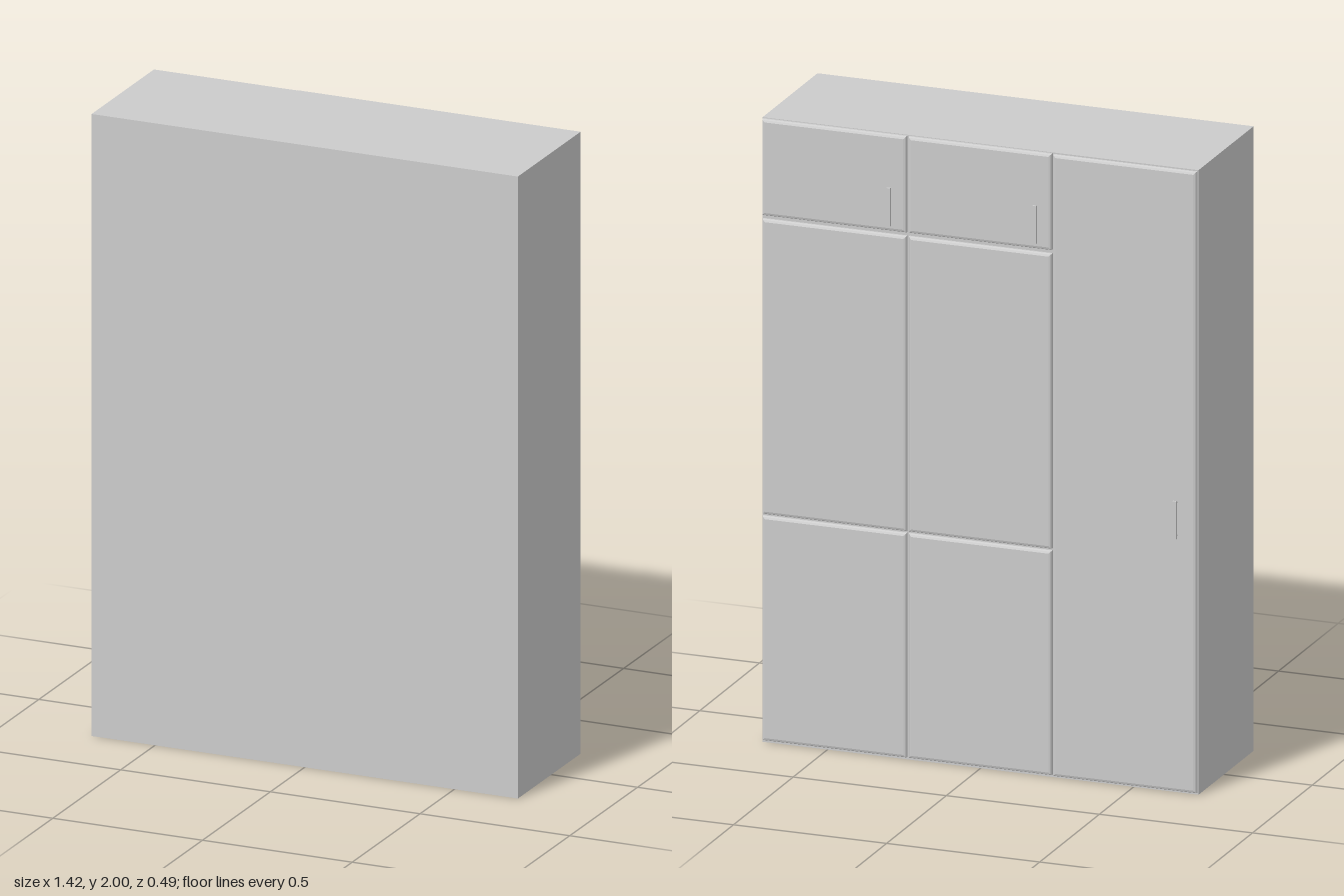
import * as THREE from 'three';

const material = new THREE.MeshStandardMaterial({ color: 0xcccccc, flatShading: true });
const BACK = -0.213; // plane of the carcass that carries the doors

function addBox(parent, name, size, position) {
  const mesh = new THREE.Mesh(new THREE.BoxGeometry(...size), material);
  mesh.name = name;
  mesh.position.set(...position);
  parent.add(mesh);
}

// Door panel with softened outer edges, facing -z
function addDoor(parent, name, x0, x1, y0, y1, thickness) {
  const bevel = 0.009;
  const w = (x1 - x0) / 2 - bevel, h = (y1 - y0) / 2 - bevel;
  const shape = new THREE.Shape([
    new THREE.Vector2(-w, -h), new THREE.Vector2(w, -h),
    new THREE.Vector2(w, h), new THREE.Vector2(-w, h),
  ]);
  const geometry = new THREE.ExtrudeGeometry(shape, {
    depth: 0.01, bevelEnabled: true, bevelSize: bevel, bevelThickness: 0.007, bevelSegments: 2,
  });
  const mesh = new THREE.Mesh(geometry, material);
  mesh.name = name;
  mesh.position.set((x0 + x1) / 2, (y0 + y1) / 2, BACK - thickness + 0.007);
  parent.add(mesh);
}

// Upright bar handle on two short posts
function addHandle(parent, name, x, y) {
  const handle = new THREE.Group();
  handle.name = name;
  handle.position.set(x, y, 0);
  addBox(handle, 'handleBar', [0.012, 0.122, 0.008], [0, 0, -0.243]);
  for (const side of [-1, 1]) {
    const post = new THREE.Mesh(new THREE.CylinderGeometry(0.003, 0.003, 0.022, 8), material);
    post.name = 'handlePost';
    post.rotation.x = Math.PI / 2;
    post.position.set(0, side * 0.053, -0.23);
    handle.add(post);
  }
  parent.add(handle);
}

export function createModel() {
  const wardrobe = new THREE.Group();
  wardrobe.name = 'wardrobe';

  // Carcass
  addBox(wardrobe, 'carcass', [1.424, 2, 0.247 - BACK], [0, 1, (0.247 + BACK) / 2]);

  // Full-height door
  addDoor(wardrobe, 'tallDoor', -0.708, -0.24, 0.006, 1.996, 0.012);
  addHandle(wardrobe, 'tallDoorHandle', -0.645, 0.88);

  // Two columns of stacked doors
  for (const [x0, x1, handleX] of [[-0.236, 0.231, -0.188], [0.238, 0.709, 0.289]]) {
    addDoor(wardrobe, 'lowerDoor', x0, x1, 0.008, 0.727, 0.013);
    addDoor(wardrobe, 'middleDoor', x0, x1, 0.733, 1.678, 0.013);
    addDoor(wardrobe, 'upperDoor', x0, x1, 1.69, 1.998, 0.015);
    addHandle(wardrobe, 'upperDoorHandle', handleX, 1.772);
  }
  return wardrobe;
}
